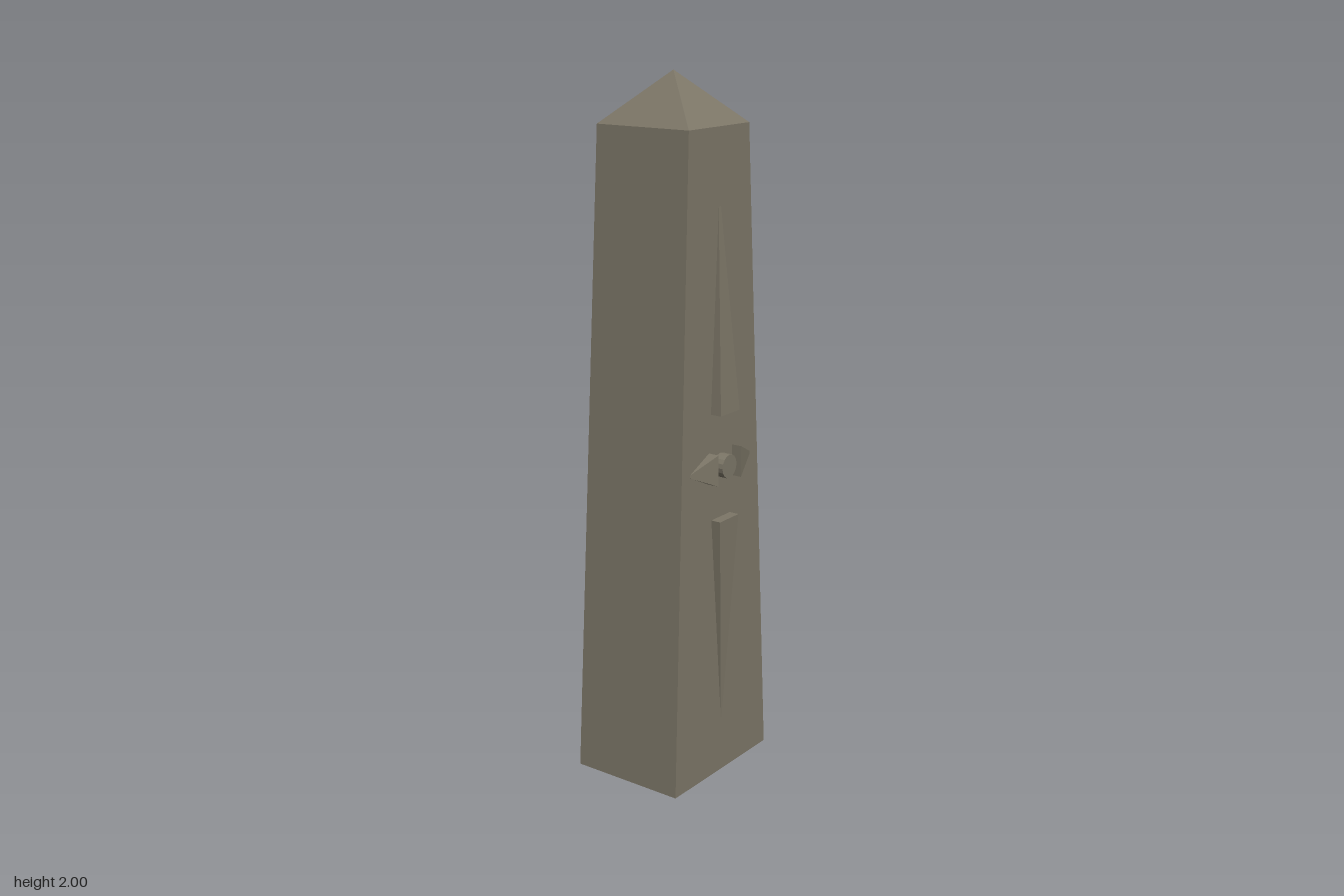
import * as THREE from 'three';

const stone = new THREE.MeshStandardMaterial({ color: 0x7c7667, flatShading: true, side: THREE.DoubleSide });

// Rectangular sections [y, halfWidth, zBack, zFront] joined upwards; optional cap on the first one
function loft(sections, capBase) {
  const rings = sections.map(([y, w, z0, z1]) => [[w, y, z1], [w, y, z0], [-w, y, z0], [-w, y, z1]]);
  const pos = [];
  const tri = (...points) => points.forEach((p) => pos.push(...p));
  for (let s = 0; s < rings.length - 1; s++) {
    const a = rings[s], b = rings[s + 1];
    for (let i = 0; i < 4; i++) {
      const j = (i + 1) % 4;
      tri(a[i], a[j], b[j]);
      if (sections[s + 1][1] > 0) tri(a[i], b[j], b[i]);
    }
  }
  if (capBase) {
    const r = rings[0];
    tri(r[0], r[2], r[1]);
    tri(r[0], r[3], r[2]);
  }
  const g = new THREE.BufferGeometry();
  g.setAttribute('position', new THREE.Float32BufferAttribute(pos, 3));
  g.computeVertexNormals();
  return g;
}

function add(parent, name, geometry, y, turn = 0, x = 0) {
  const mesh = new THREE.Mesh(geometry, stone);
  mesh.name = name;
  mesh.position.set(x, y, 0);
  mesh.rotation.z = turn;
  parent.add(mesh);
  return mesh;
}

// Raised ornament of one broad face, built on the +z side
function createOrnament(name) {
  const g = new THREE.Group();
  g.name = name;
  const spike = (inner, tipZ) => loft([[0, 0.045, inner, 0.195], [0.643, 0, tipZ, tipZ]], true);
  add(g, 'upperSpike', spike(0.155, 0.149), 1.085);
  add(g, 'lowerSpike', spike(0.16, 0.172), 0.78, Math.PI);

  // Small side points aim away from the central stud
  const point = loft([[0, 0.045, 0.158, 0.195], [0.098, 0, 0.16, 0.16]], true);
  for (const s of [1, -1]) {
    add(g, s > 0 ? 'leftPoint' : 'rightPoint', point, 0.932, -s * Math.PI / 2, s * 0.055);
  }

  const stud = new THREE.CylinderGeometry(0.034, 0.034, 0.035, 16);
  stud.rotateX(Math.PI / 2);
  stud.translate(0, 0, 0.1765);
  add(g, 'stud', stud, 0.932);
  return g;
}

export function createModel() {
  const model = new THREE.Group();
  model.name = 'obelisk';

  // Tapered shaft, open underneath, and its pyramid tip
  add(model, 'shaft', loft([[0, 0.225, -0.175, 0.175], [1.86, 0.138, -0.152, 0.152]]), 0);
  add(model, 'pyramidTip', loft([[1.86, 0.138, -0.152, 0.152], [2, 0, 0, 0]]), 0);

  const front = createOrnament('frontOrnament');
  const back = createOrnament('backOrnament');
  back.rotation.y = Math.PI;
  model.add(front, back);
  return model;
}
